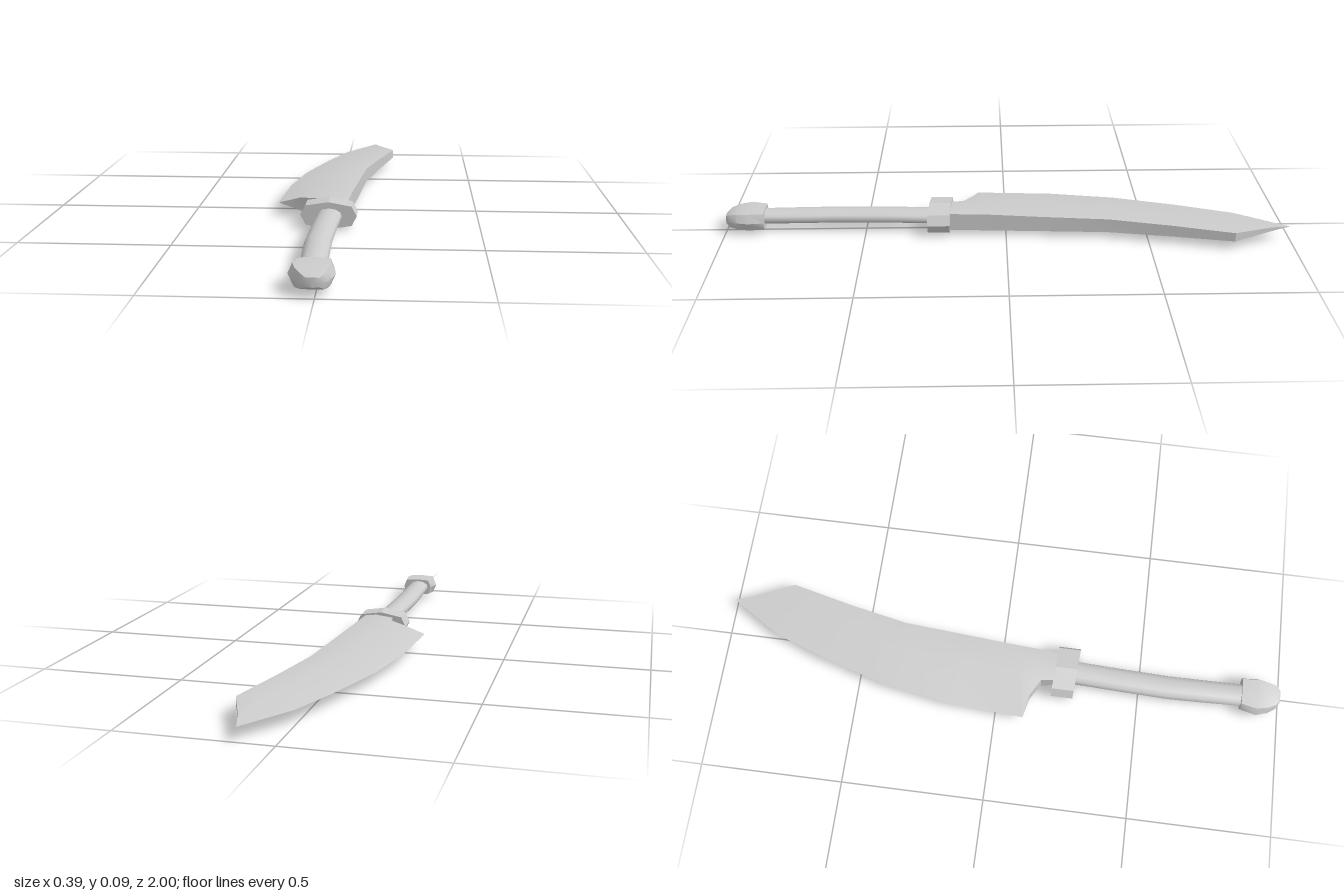
import * as THREE from 'three';
import { toCreasedNormals } from 'three/addons/utils/BufferGeometryUtils.js';

const MID = 0.0465; // height of the flat symmetry plane

// Closed skin over rings of [x, y, z] points: anticlockwise seen from +z, running towards +z
function loft(rings, crease) {
  const pos = [];
  const same = (a, b) => a.every((v, i) => Math.abs(v - b[i]) < 1e-6);
  const tri = (a, b, c) => {
    if (!same(a, b) && !same(b, c) && !same(c, a)) pos.push(...a, ...b, ...c);
  };
  const centre = (ring) => [0, 1, 2].map((k) => ring.reduce((s, p) => s + p[k], 0) / ring.length);
  const n = rings[0].length;
  const first = rings[0], last = rings[rings.length - 1];
  for (let i = 0; i < n; i++) {
    const j = (i + 1) % n;
    for (let r = 0; r < rings.length - 1; r++) {
      const a = rings[r], b = rings[r + 1];
      tri(a[i], a[j], b[j]);
      tri(a[i], b[j], b[i]);
    }
    tri(centre(first), first[j], first[i]);
    tri(centre(last), last[i], last[j]);
  }
  const geo = new THREE.BufferGeometry();
  geo.setAttribute('position', new THREE.Float32BufferAttribute(pos, 3));
  return toCreasedNormals(geo, crease);
}

// Unit outlines
const OCT = [[1, 0], [0.82, 0.72], [0, 1], [-0.82, 0.72], [-1, 0], [-0.82, -0.72], [0, -1], [0.82, -0.72]];
const SLAB = [[1, 0], [0.8, 0.92], [0, 1], [-0.8, 0.92], [-1, 0], [-0.8, -0.92], [0, -1], [0.8, -0.92]];
const OVAL = Array.from({ length: 12 }, (_, i) => [Math.cos(i * Math.PI / 6), Math.sin(i * Math.PI / 6)]);

// Scaled outline; tilt pushes the +x side towards +z
const ring = (outline, cx, rx, ry, z, tilt = 0) =>
  outline.map(([x, y]) => [cx + x * rx, MID + y * ry, z + x * rx * tilt]);

// Blade section from sharp edge (x, z, half thickness) to flat spine, swelling between
function bladeRing([ex, ez, eh, sx, sz, sh, mh]) {
  const mx = ex + (sx - ex) * 0.6, mz = ez + (sz - ez) * 0.6;
  return [
    [sx, MID - sh, sz], [sx, MID + sh, sz], [mx, MID + mh, mz],
    [ex, MID + eh, ez], [ex, MID - eh, ez], [mx, MID - mh, mz],
  ];
}

export function createModel() {
  const group = new THREE.Group();
  group.name = 'machete';
  const grey = new THREE.MeshStandardMaterial({ color: 0xcccccc });
  grey.name = 'plain grey';
  const add = (name, geometry) => {
    const mesh = new THREE.Mesh(geometry, grey);
    mesh.name = name;
    group.add(mesh);
  };

  // Curved blade, tip to heel notch and tang
  add('blade', loft([
    [0.115, -1.0, 0, 0.135, -0.93, 0.007, 0.004],
    [0, -0.82, 0, 0.195, -0.79, 0.016, 0.017],
    [-0.07, -0.63, 0, 0.14, -0.57, 0.021, 0.025],
    [-0.14, -0.4, 0, 0.095, -0.36, 0.025, 0.032],
    [-0.18, -0.17, 0, 0.075, -0.12, 0.028, 0.036],
    [-0.197, 0.1, 0, 0.06, 0.05, 0.031, 0.038],
    [-0.12, 0.115, 0.023, 0.057, 0.1, 0.031, 0.037],
    [-0.06, 0.15, 0.03, 0.054, 0.15, 0.031, 0.037],
    [-0.05, 0.22, 0.03, 0.05, 0.22, 0.031, 0.036],
  ].map(bladeRing), 0.5));

  // Angular collar between blade and grip
  add('guard', loft([
    ring(OCT, -0.01, 0.095, 0.0465, 0.195, 0.06),
    ring(OCT, -0.01, 0.095, 0.0465, 0.273, 0.06),
  ], 0.3));

  // Slightly bowed oval grip
  add('handle', loft([
    [-0.007, 0.043, 0.25], [-0.014, 0.043, 0.42], [-0.02, 0.043, 0.6],
    [-0.018, 0.042, 0.72], [-0.014, 0.04, 0.88],
  ].map(([cx, rx, z]) => ring(OVAL, cx, rx, 0.025, z)), 0.9));

  // Rounded pommel
  add('pommel', loft([
    [-0.01, 0.058, 0.032, 0.86], [-0.014, 0.068, 0.034, 0.915],
    [-0.012, 0.058, 0.031, 0.955], [-0.007, 0.044, 0.025, 0.983], [-0.005, 0.024, 0.015, 0.997],
  ].map(([cx, rx, ry, z]) => ring(SLAB, cx, rx, ry, z)), 0.75));

  return group;
}
